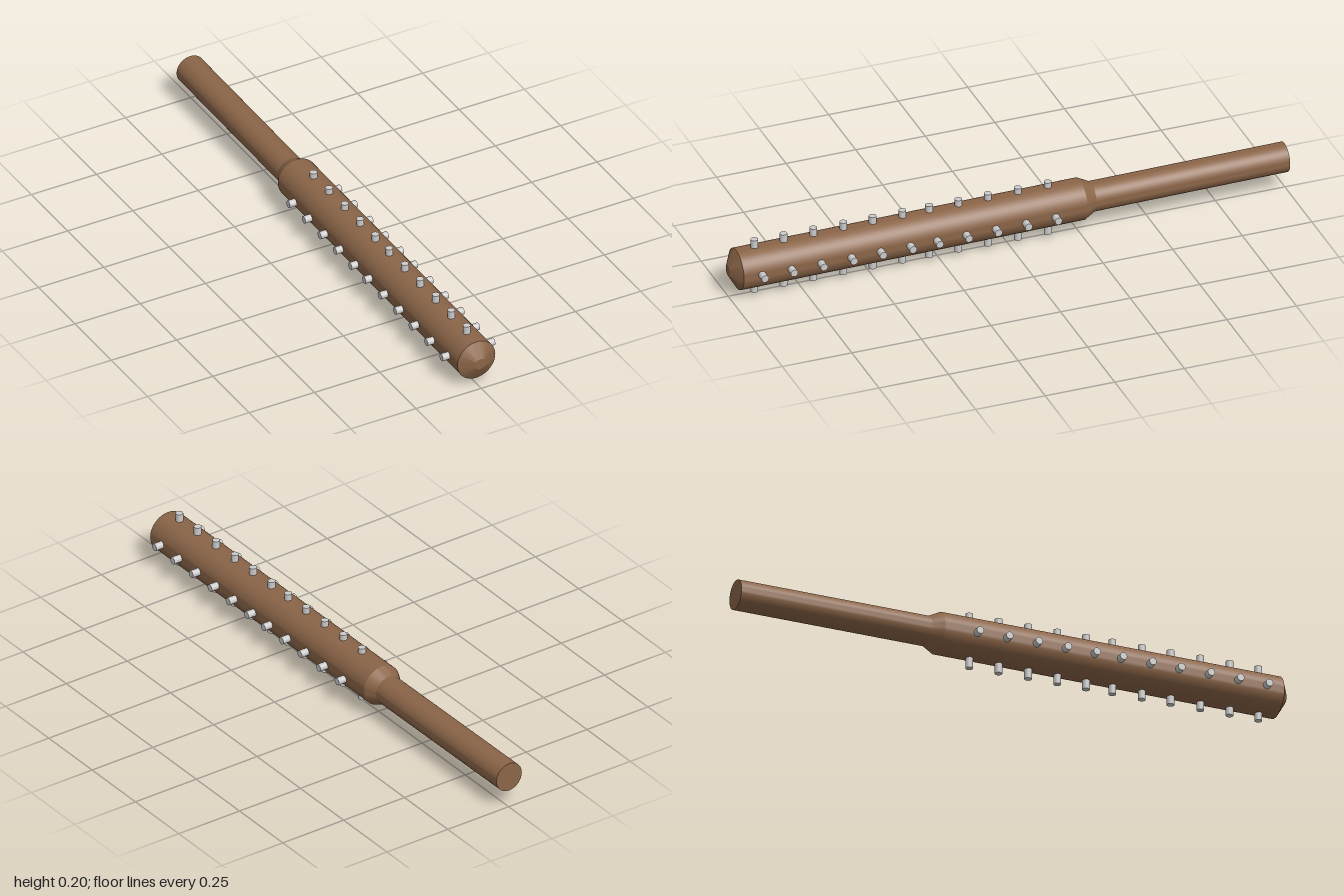
import * as THREE from 'three';
import { toCreasedNormals } from 'three/addons/utils/BufferGeometryUtils.js';

export function createModel() {
  const model = new THREE.Group();
  model.name = 'studdedClub';
  const wood = new THREE.MeshStandardMaterial({ color: 0x8b6548 });
  const metal = new THREE.MeshStandardMaterial({ color: 0xcccccc });

  // Turned wooden body along z: slim handle, chamfered shoulder, thick barrel, blunt conical tip
  const profile = [
    [0, -1], [0.052, -1], [0.052, -0.305], [0.0725, -0.265],
    [0.0725, 0.97], [0.02, 1], [0, 1],
  ].map(([r, z]) => new THREE.Vector2(r, z));
  const bodyGeometry = new THREE.LatheGeometry(profile, 48).rotateX(Math.PI / 2);
  const body = new THREE.Mesh(toCreasedNormals(bodyGeometry, 0.4), wood);
  body.name = 'woodenBody';
  body.position.set(-0.002, 0.107, 0);
  body.rotation.x = 0.009; // the handle end sits slightly higher
  model.add(body);

  // Metal pins driven through the barrel, one upright and one crosswise at each station
  const stations = [0.905, 0.80, 0.693, 0.585, 0.48, 0.373, 0.277, 0.172, 0.066, -0.042, -0.149];
  const pinGeometry = new THREE.CylinderGeometry(0.013, 0.013, 0.2, 20);
  const pins = new THREE.Group();
  pins.name = 'pins';
  for (const z of stations) {
    const upright = new THREE.Mesh(pinGeometry, metal);
    upright.name = 'uprightPin';
    upright.position.set(-0.003, 0.1, z);
    const cross = new THREE.Mesh(pinGeometry, metal);
    cross.name = 'crossPin';
    cross.position.set(0, 0.101, z);
    cross.rotation.z = Math.PI / 2;
    pins.add(upright, cross);
  }
  model.add(pins);
  return model;
}
